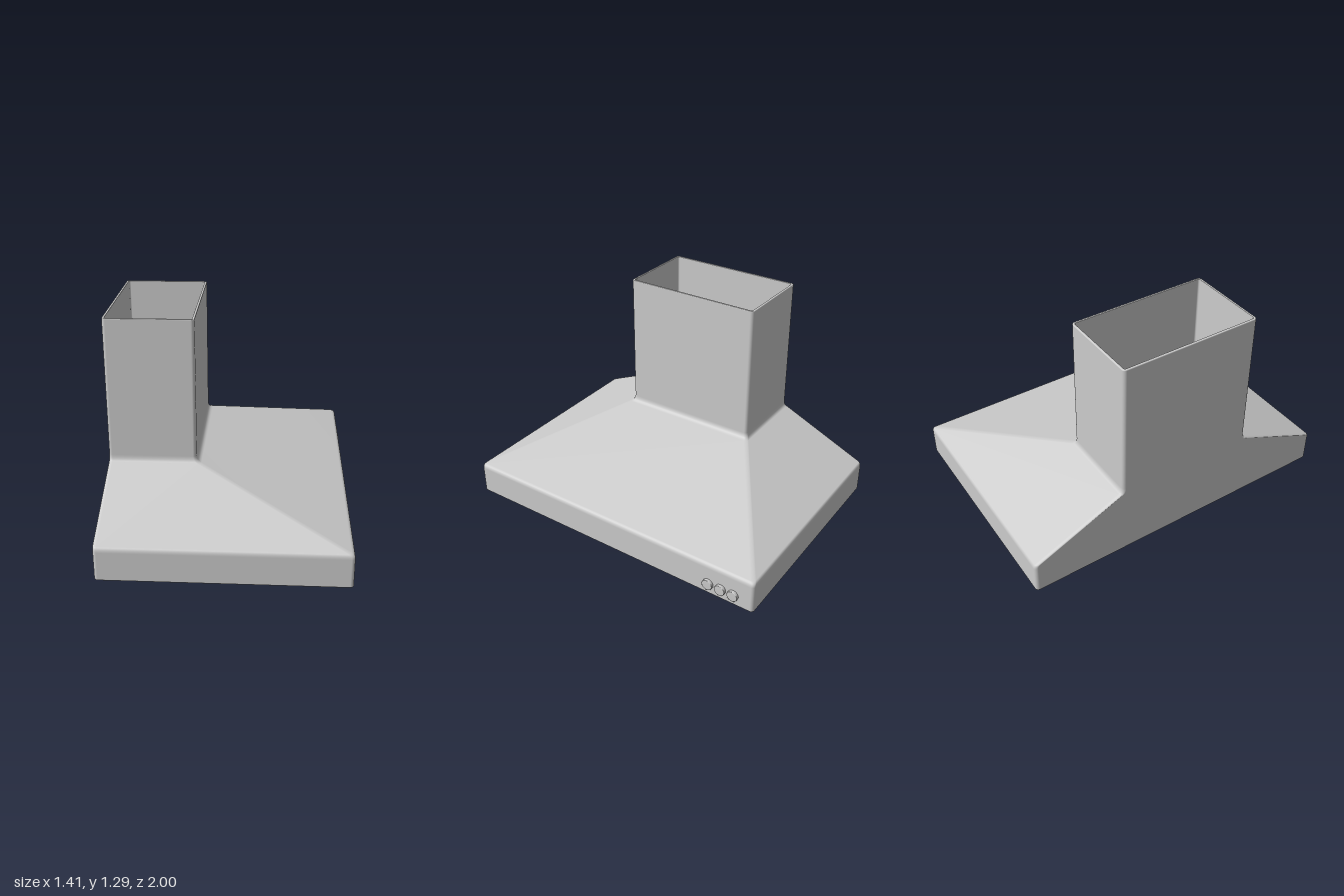
import * as THREE from 'three';

const BACK = -0.705, WALL = 0.014;

// Rounded-rectangle ring: t = 0 is the duct outline, t = 1 the full canopy outline
function ring(t, y, inset) {
  const x0 = BACK + inset, x1 = -0.195 + 0.883 * t - inset;
  const hz = 0.43 + 0.57 * t - inset;
  const r = 0.021 - inset * 0.8;
  const corners = [[x1, -hz, 0], [x0, -hz, 1], [x0, hz, 2], [x1, hz, 3]];
  const pts = [];
  for (const [cx, cz, q] of corners) {
    const mx = cx - Math.sign(cx - (x0 + x1) / 2) * r;
    const mz = cz - Math.sign(cz) * r;
    for (let i = 0; i <= 5; i++) {
      const a = (q + i / 5) * Math.PI / 2;
      pts.push([mx + r * Math.cos(a), y, mz - r * Math.sin(a)]);
    }
  }
  return pts;
}

// Softens each corner of a closed profile; entries are [t, y, inset, cut]
function softenProfile(profile) {
  const n = profile.length, out = [];
  const v = profile.map(([t, y, inset]) => new THREE.Vector3(t, y, inset));
  profile.forEach(([, , , cut], i) => {
    const toward = (o) => v[i].clone().add(o.clone().sub(v[i]).setLength(cut));
    const curve = new THREE.QuadraticBezierCurve3(
      toward(v[(i + n - 1) % n]), v[i], toward(v[(i + 1) % n]));
    out.push(...curve.getPoints(5));
  });
  return out;
}

// Thin-walled hood, open at the bottom and at the top
function shellGeometry() {
  const rings = softenProfile([
    [1, 0, 0, 0.008],
    [1, 0.196, 0, 0.024],
    [0, 0.446, 0, 0.032],
    [0, 1.295, 0, 0.006],
    [0, 1.295, WALL, 0.004],
    [0, 0.436, WALL, 0.03],
    [1, 0.184, WALL, 0.02],
    [1, 0, WALL, 0.004],
  ]).map((p) => ring(p.x, p.y, p.z));
  const m = rings.length, n = rings[0].length, index = [];
  for (let j = 0; j < m; j++) {
    for (let i = 0; i < n; i++) {
      const k = (i + 1) % n, up = ((j + 1) % m) * n;
      const a = j * n + i, b = j * n + k, c = up + k, d = up + i;
      index.push(a, b, c, a, c, d);
    }
  }
  const g = new THREE.BufferGeometry();
  g.setAttribute('position', new THREE.Float32BufferAttribute(rings.flat(2), 3));
  g.setIndex(index);
  g.computeVertexNormals();
  return g;
}

export function createModel() {
  const group = new THREE.Group();
  const material = new THREE.MeshStandardMaterial({ color: 0xcccccc });

  const hood = new THREE.Mesh(shellGeometry(), material);
  hood.name = 'hoodShell';
  group.add(hood);

  // Three round push buttons on the canopy's +x edge
  const profile = [[0.033, -0.005], [0.033, 0.013], [0.032, 0.016], [0.029, 0.017], [0, 0.017]]
    .map(([r, h]) => new THREE.Vector2(r, h));
  const buttonGeometry = new THREE.LatheGeometry(profile, 32).rotateZ(-Math.PI / 2);
  for (let i = 0; i < 3; i++) {
    const button = new THREE.Mesh(buttonGeometry, material);
    button.name = `controlButton${i + 1}`;
    button.position.set(0.688, 0.067, -0.715 - 0.08 * i);
    group.add(button);
  }
  return group;
}
